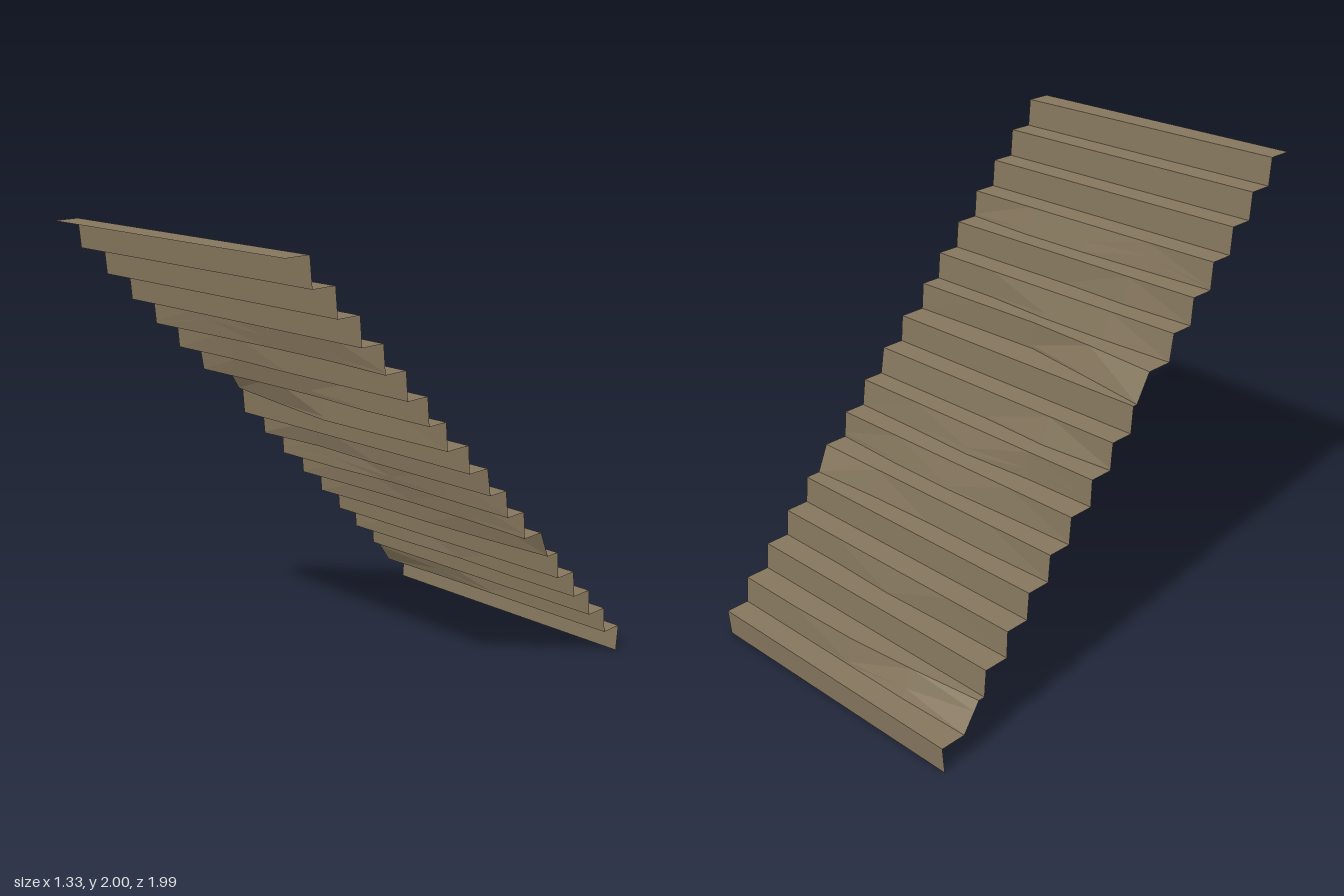
import * as THREE from 'three';

const STEPS = 17, PITCH = 2 / STEPS;
const XS = [-0.665, -0.33, 0, 0.33, 0.665];

// Wear at the five columns, in hundredths of a unit.
// How far the back of each tread curls up.
const RISE = {
  0: [8, 4, 1, 0.5, 0.5], 1: [0, 4.5, 2, 1, 0], 3: [0, 1, 2, 1, 0], 5: [0.5, 1, 1, 1.5, 2],
  6: [3, 4.5, 2.5, 1.5, 0.5], 7: [0.5, 0.5, 1, 1.5, 1], 8: [0, 3.5, 2, 1.5, 1.5], 9: [0, 0.5, 1.5, 1, 0.5],
  10: [0, 2.5, 2, 1, 1], 11: [0, 2, 0.5, 1, 0], 12: [1, 6.5, 4.5, 2, 1], 13: [0, 0, 1.5, 1, 0],
  15: [0, 1, 1, 1.5, 0],
};
// How far the foot of the riser behind each tread stands forward.
const LEAN = {
  0: [8, 5, 2, 1, 1], 2: [0.5, 1, 2, 1, 1], 4: [1, 2, 2, 3, 5], 5: [1, 2, 3, 2.5, 1],
  6: [0.5, 1, 3, 2, 1.5], 7: [1, 3.5, 2, 2, 2], 9: [7, 4, 0.5, 0.5, 1], 10: [2, 3, 3, 1, 1],
  11: [1, 2, 1, 1, 1], 12: [1, 2, 3, 3, 1],
};
// Nosings that are worn away from the regular pitch.
const SHIFT = { 1: [8, 4, 1, 0, 0], 10: [-2.5, 0.5, 2.5, 2, 1.5] };

const wear = (table, step, col, usual) => (table[step] ? table[step][col] : usual) / 100;
const noseZ = (step, col) =>
  step === STEPS ? 0.995 : -1 + PITCH * step + wear(SHIFT, step, col, 0.2);

const row = (fn) => XS.map((x, c) => new THREE.Vector3(x, ...fn(c)));

// Join two rows of points with a strip of facets.
function strip(out, a, b) {
  for (let c = 0; c < XS.length - 1; c++) {
    const quad = c % 2
      ? [a[c], b[c], a[c + 1], a[c + 1], b[c], b[c + 1]]
      : [a[c], b[c], b[c + 1], a[c], b[c + 1], a[c + 1]];
    for (const p of quad) out.push(p.x, p.y, p.z);
  }
}

function sheet(name, points, material) {
  const geometry = new THREE.BufferGeometry();
  geometry.setAttribute('position', new THREE.Float32BufferAttribute(points, 3));
  geometry.computeVertexNormals();
  const mesh = new THREE.Mesh(geometry, material);
  mesh.name = name;
  return mesh;
}

export function createModel() {
  const stone = new THREE.MeshStandardMaterial({
    color: 0x85765d, flatShading: true, side: THREE.DoubleSide,
  });
  const treads = [], risers = [];

  // The flight climbs from the back at the ground to the front at the top.
  let foot = row(() => [0, -0.988]);
  for (let s = 0; s < STEPS; s++) {
    const y = PITCH * (s + 1), last = s === STEPS - 1;
    const nose = row((c) => [y, noseZ(s, c)]);
    const lean = (c) => (last ? 0 : wear(LEAN, s, c, 1));
    const crease = row((c) => [y, noseZ(s + 1, c) - lean(c)]);
    strip(risers, foot, nose);
    strip(treads, nose, crease);
    if (last) break;
    // Worn corner between the tread and the next riser
    foot = row((c) => {
      const rise = wear(RISE, s, c, 0.3);
      return [y + rise, noseZ(s + 1, c) - lean(c) * (1 - rise / PITCH)];
    });
    strip(risers, crease, foot);
  }

  const group = new THREE.Group();
  group.name = 'wornStaircase';
  group.add(sheet('treads', treads, stone), sheet('risers', risers, stone));
  return group;
}
